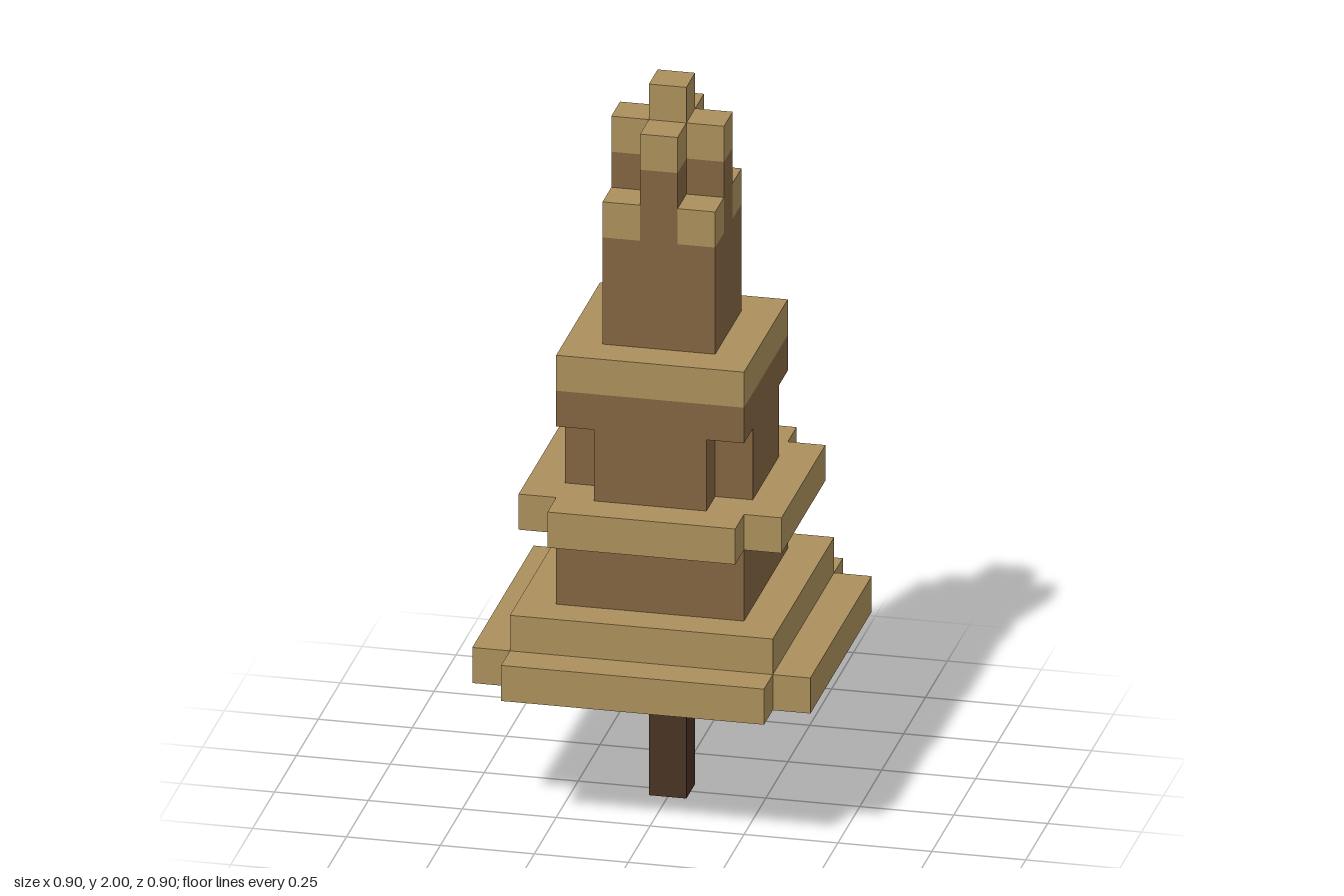
import * as THREE from 'three';

const material = (name, color) => {
  const m = new THREE.MeshStandardMaterial({ color });
  m.name = name;
  return m;
};

export function createModel() {
  const group = new THREE.Group();
  const tan = material('tan', 0xab8f5c);
  const brown = material('brown', 0x816441);
  const dark = material('dark brown', 0x493322);

  const add = (name, geometry, mat, x, y, z) => {
    const mesh = new THREE.Mesh(geometry, mat);
    mesh.name = name;
    mesh.position.set(x, y, z);
    group.add(mesh);
  };

  // Square block from y0 to y1
  const block = (name, mat, width, y0, y1, x = 0, z = 0) =>
    add(name, new THREE.BoxGeometry(width, y1 - y0, width), mat, x, (y0 + y1) / 2, z);

  // Upright prism from a plan outline
  const prism = (name, mat, points, y0, y1) => {
    const shape = new THREE.Shape(points.map(([x, z]) => new THREE.Vector2(x, z)));
    const geometry = new THREE.ExtrudeGeometry(shape, { depth: y1 - y0, bevelEnabled: false });
    geometry.rotateX(-Math.PI / 2);
    add(name, geometry, mat, 0, y0, 0);
  };

  // Square plan with its four corners notched: a = half width, b = half width of each arm
  const notched = (name, mat, a, b, y0, y1) => prism(name, mat, [
    [a, -b], [a, b], [b, b], [b, a], [-b, a], [-b, b],
    [-a, b], [-a, -b], [-b, -b], [-b, -a], [b, -a], [b, -b],
  ], y0, y1);

  // Post
  block('postTip', dark, 0.1, 0, 0.31);
  block('postNeck', brown, 0.1, 0.31, 0.4);

  // Stepped base with a dark panel underneath
  notched('baseSlab', tan, 0.45, 0.35, 0.4, 0.5);
  const p = 0.35, c = 0.32;
  prism('basePanel', brown, [
    [p, -c], [p, c], [c, p], [-c, p], [-p, c], [-p, -c], [-c, -p], [c, -p],
  ], 0.397, 0.402);
  block('baseStep', tan, 0.7, 0.5, 0.6);

  // Lower storey and its ledge
  block('lowerStorey', brown, 0.5, 0.6, 0.8);
  notched('ledge', tan, 0.35, 0.25, 0.8, 0.9);

  // Middle storey with recessed corners
  notched('middleStorey', brown, 0.25, 0.15, 0.9, 1.1);
  block('middleLintel', brown, 0.5, 1.1, 1.2);
  block('middleRoof', tan, 0.5, 1.2, 1.3);

  // Tower with corner caps and a cross-shaped crown
  block('tower', brown, 0.3, 1.3, 1.6);
  for (const x of [-0.1, 0.1])
    for (const z of [-0.1, 0.1]) block('cornerCap', tan, 0.1, 1.6, 1.7, x, z);
  notched('crown', brown, 0.15, 0.05, 1.6, 1.8);
  notched('crownCap', tan, 0.15, 0.05, 1.8, 1.9);
  block('finial', tan, 0.1, 1.9, 2);

  return group;
}
